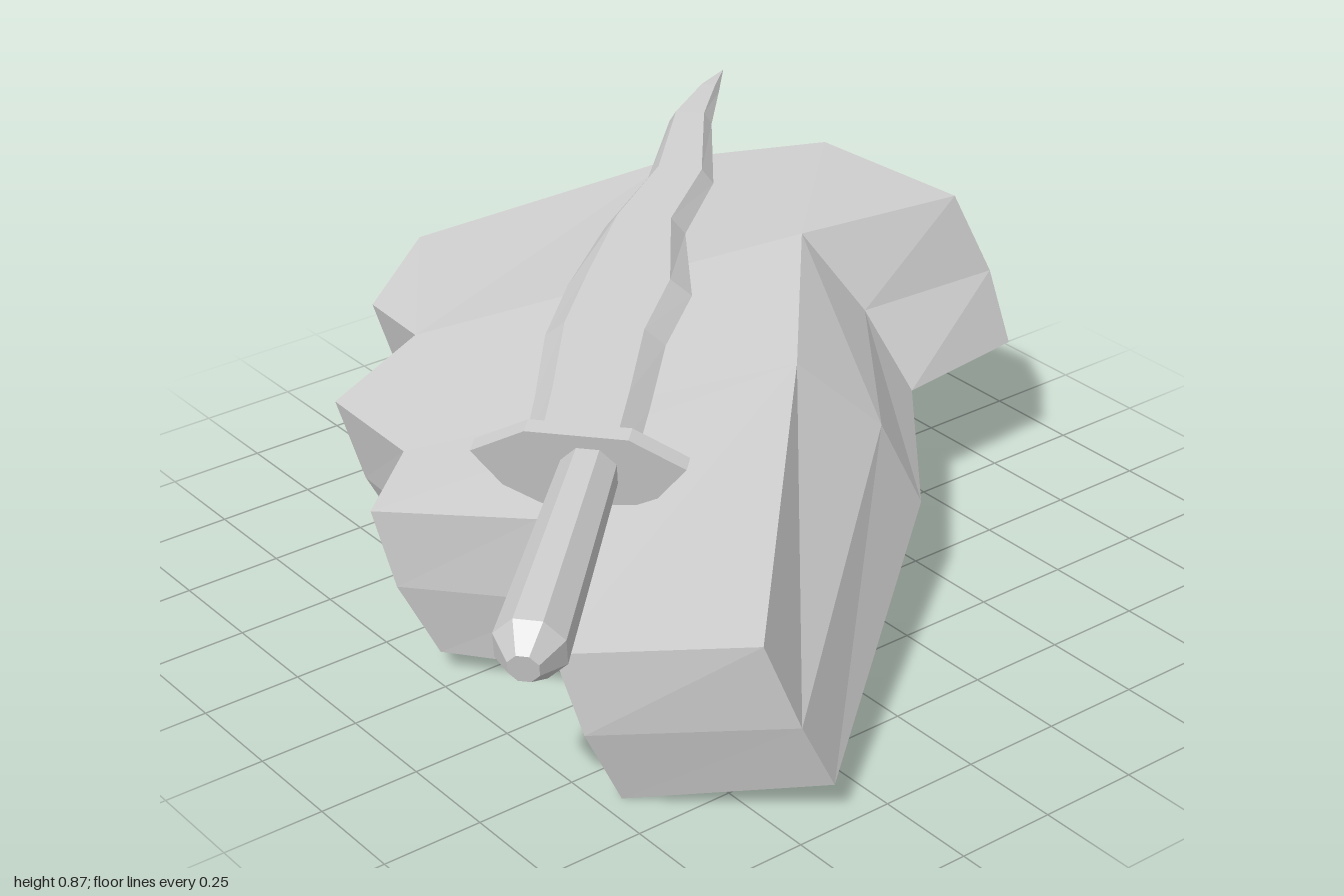
import * as THREE from 'three';

const grey = new THREE.MeshStandardMaterial({ color: 0xcccccc, flatShading: true });
const openGrey = new THREE.MeshStandardMaterial({
  color: 0xcccccc, flatShading: true, side: THREE.DoubleSide });

// Joins rings of points; each ring runs counter-clockwise seen from the last one.
function loft(rings, cap = []) {
  const n = rings[0].length;
  const index = [];
  for (let r = 0; r < rings.length - 1; r++) {
    for (let i = 0; i < n; i++) {
      const j = (i + 1) % n;
      const a = r * n + i, b = r * n + j, c = a + n, d = b + n;
      index.push(a, b, d, a, d, c);
    }
  }
  // optional cap on the last ring: fans of [centre, ...rim]
  const last = (rings.length - 1) * n;
  for (const [centre, ...rim] of cap) {
    for (let i = 0; i < rim.length - 1; i++) {
      index.push(last + centre, last + rim[i], last + rim[i + 1]);
    }
  }
  const geometry = new THREE.BufferGeometry();
  geometry.setAttribute('position', new THREE.Float32BufferAttribute(rings.flat(2), 3));
  geometry.setIndex(index);
  geometry.computeVertexNormals();
  return geometry;
}

function part(name, geometry, material = grey) {
  const mesh = new THREE.Mesh(geometry, material);
  mesh.name = name;
  return mesh;
}

// Hollow stone slab, open below: top, middle and bottom corner of each upright edge.
function createSlab() {
  const edges = [
    [[-0.52, 0.46, 0.89], [-0.38, 0.09, 0.97], [-0.455, 0.255, 0.945]],
    [[0.16, 0.635, 0.18], [0.4, 0.26, 0.37], [0.34, 0.455, 0.285]],
    [[0.49, 0.74, -0.2], [0.65, 0.35, 0.05], [0.6, 0.54, -0.08]],
    [[0.92, 0.755, -0.11], [1.0, 0.37, 0.03]],
    [[0.86, 0.77, -0.55], [0.955, 0.37, -0.43]],
    [[0.57, 0.71, -0.82], [0.7, 0.24, -0.68]],
    [[-0.14, 0.63, -0.97], [-0.04, 0.21, -0.85]],
    [[-0.385, 0.57, -0.82], [-0.28, 0.19, -0.67]],
    [[-0.385, 0.56, -0.63], [-0.28, 0.2, -0.53]],
    [[-0.66, 0.49, -0.57], [-0.55, 0.11, -0.42]],
    [[-0.65, 0.47, -0.29], [-0.55, 0.08, -0.16]],
    [[-0.83, 0.43, -0.16], [-0.72, 0.055, -0.06]],
    [[-0.58, 0.46, 0.15], [-0.48, 0.06, 0.26]],
    [[-0.82, 0.385, 0.54], [-0.7, 0, 0.62]],
  ];
  // the sides bulge slightly at half height
  const middle = edges.map(([t, b, m]) => m ?? [
    (t[0] + b[0]) * 0.515, (t[1] + b[1]) * 0.49, (t[2] + b[2]) * 0.515]);
  const cap = [[1, 8, 10, 11, 12, 13, 0], [8, 1, 2, 5, 6, 7], [8, 9, 10], [2, 3, 4, 5]];
  const rings = [edges.map((e) => e[1]), middle, edges.map((e) => e[0])];
  return part('slab', loft(rings, cap), openGrey);
}

// Wavy blade along x: [position, far edge, near edge, half thickness]
function createBlade() {
  const stations = [
    [0.66, -0.17, 0.09, 0.022],
    [0.9, -0.19, 0.085, 0.022],
    [1.15, -0.22, 0.075, 0.022],
    [1.36, -0.21, 0.1, 0.022],
    [1.62, -0.17, 0.035, 0.022],
    [1.85, -0.105, 0.065, 0.02],
    [2.12, -0.1, 0.012, 0.016],
    [2.27, -0.05, 0.005, 0.01],
    [2.365, 0, 0, 0],
  ];
  const rings = stations.map(([x, far, near, h]) => {
    const inset = (near - far) * 0.17;
    return [[x, -h, near], [x, -h, far], [x, h, far + inset], [x, h, near - inset]];
  });
  return part('blade', loft(rings));
}

function createDagger() {
  const dagger = new THREE.Group();
  dagger.name = 'dagger';

  // eight-sided grip with a chamfered end
  const profile = [[0, -0.045], [0.038, -0.045], [0.087, 0.02], [0.07, 0.64], [0, 0.64]]
    .map(([r, y]) => new THREE.Vector2(r, y));
  const handle = new THREE.LatheGeometry(profile, 8, Math.PI / 8);
  handle.rotateZ(-Math.PI / 2);

  // flat cross-guard plate, widest above its middle
  const half = [[0.09, -0.105], [0.18, -0.06], [0.25, 0.03], [0.12, 0.1]];
  const outline = [...half, ...half.map(([x, y]) => [-x, y]).reverse()]
    .map(([x, y]) => new THREE.Vector2(x, y));
  const guard = new THREE.ExtrudeGeometry(new THREE.Shape(outline), { depth: 0.045, bevelEnabled: false });
  guard.rotateY(Math.PI / 2);
  guard.translate(0.625, 0, -0.025);

  dagger.add(part('handle', handle), part('guard', guard), createBlade());

  // lay it across the slab, end of the grip to tip
  const start = new THREE.Vector3(-0.945, 0.475, 0.625);
  const along = new THREE.Vector3(0.8, 0.87, -0.905).sub(start).normalize();
  const across = new THREE.Vector3().crossVectors(along, new THREE.Vector3(0, 1, 0)).normalize();
  const up = new THREE.Vector3().crossVectors(across, along);
  dagger.quaternion.setFromRotationMatrix(new THREE.Matrix4().makeBasis(along, up, across));
  dagger.position.copy(start);
  return dagger;
}

export function createModel() {
  const model = new THREE.Group();
  model.name = 'daggerOnStone';
  model.add(createSlab(), createDagger());
  return model;
}
